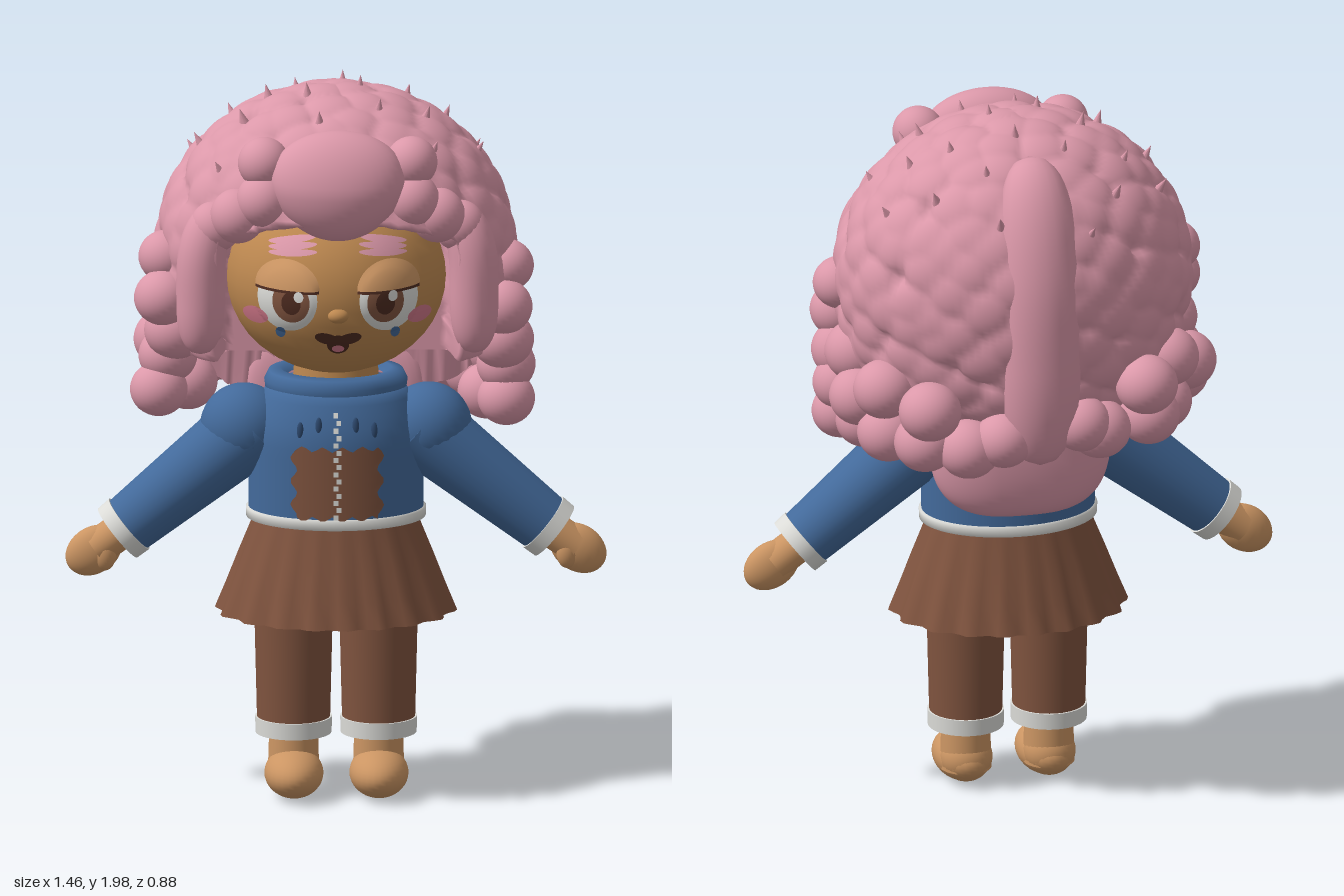
import * as THREE from 'three';
import { mergeVertices } from 'three/addons/utils/BufferGeometryUtils.js';

const V = (x, y, z) => new THREE.Vector3(x, y, z);
const mat = (name, color, side = THREE.FrontSide) => {
  const m = new THREE.MeshStandardMaterial({ color, side });
  m.name = name;
  return m;
};

export function createModel() {
  const model = new THREE.Group();
  const pink = mat('hair pink', 0xdb98a9), blush = mat('blush rose', 0xd2788a);
  const blue = mat('jacket blue', 0x436a9b, THREE.DoubleSide), navy = mat('dark blue', 0x2e4a70);
  const brown = mat('cloth brown', 0x80543f, THREE.DoubleSide), dark = mat('dark brown', 0x4d2b20);
  const skin = mat('skin', 0xcb9563), faceSkin = mat('face skin', 0xbd8850), white = mat('off white', 0xdcdcd8, THREE.DoubleSide);

  const add = (name, geo, material, x = 0, y = 0, z = 0) => {
    const m = new THREE.Mesh(geo, material);
    m.name = name;
    m.position.set(x, y, z);
    model.add(m);
    return m;
  };
  // Move every vertex by a rule, then weld and smooth
  const reshape = (geo, rule) => {
    const p = geo.attributes.position, v = V(0, 0, 0);
    for (let i = 0; i < p.count; i++) {
      v.fromBufferAttribute(p, i);
      rule(v, i);
      p.setXYZ(i, v.x, v.y, v.z);
    }
    geo.deleteAttribute('uv');
    geo.deleteAttribute('normal');
    const g = mergeVertices(geo, 1e-5);
    g.computeVertexNormals();
    return g;
  };
  const ball = (name, material, x, y, z, rx, ry = rx, rz = rx) =>
    add(name, new THREE.SphereGeometry(1, 28, 20).scale(rx, ry, rz), material, x, y, z);
  const between = (name, material, a, b, r0, r1) => {
    const m = add(name, new THREE.CylinderGeometry(r1, r0, a.distanceTo(b), 28), material);
    m.position.copy(a).lerp(b, 0.5);
    m.quaternion.setFromUnitVectors(V(0, 1, 0), b.clone().sub(a).normalize());
    return m;
  };
  // Round-ended lock of hair along a curve
  const lock = (name, pts, r, wide = 1) => {
    const curve = new THREE.CatmullRomCurve3(pts.map((p) => V(...p)));
    const n = 40, sides = 20;
    const geo = reshape(new THREE.TubeGeometry(curve, n, 1, sides), (v, i) => {
      const t = Math.floor(i / (sides + 1)) / n, c = curve.getPointAt(t);
      v.sub(c).multiplyScalar(r * Math.pow(Math.max(0, 1 - Math.pow(Math.abs(2 * t - 1), 4)), 0.5));
      v.x *= wide;
      v.add(c);
    });
    return add(name, geo, pink);
  };
  const lathe = (pts, depth) =>
    new THREE.LatheGeometry(pts.map(([r, y]) => new THREE.Vector2(r, y)), 72).scale(1, 1, depth);

  // Legs and feet
  for (const s of [1, -1]) {
    const x = s * 0.115;
    add('trouserLeg', new THREE.CylinderGeometry(0.112, 0.098, 0.58, 32), brown, x, 0.46, 0.07);
    add('trouserCuff', new THREE.CylinderGeometry(0.104, 0.103, 0.045, 32), white, x, 0.192, 0.07);
    add('ankle', new THREE.CylinderGeometry(0.066, 0.07, 0.13, 28), skin, x, 0.11, 0.07);
    ball('foot', skin, x, 0.066, 0.115, 0.08, 0.066, 0.125);
    ball('heel', skin, x, 0.075, 0.065, 0.071, 0.068, 0.071);
  }

  // Pleated skirt
  add('skirt', reshape(lathe([[0.2, 0.84], [0.222, 0.77], [0.26, 0.67], [0.292, 0.58], [0.318, 0.51]].reverse(), 0.8), (v) => {
    const a = Math.atan2(v.x, v.z), k = 1 + 0.035 * Math.sin(a * 18) * (0.84 - v.y) / 0.33;
    v.x *= k;
    v.z *= k;
  }), brown, 0, 0, 0.06);

  // Jacket body, hem and collar
  const torsoR = (y) => 0.237 - (y > 1 ? 1.2 * Math.pow(y - 1, 1.6) : 0);
  const torsoZ = (x, y) => 0.06 + 0.76 * Math.sqrt(Math.max(0, torsoR(y) ** 2 - x * x));
  const bodyPts = [];
  for (let i = 0; i <= 12; i++) bodyPts.push([torsoR(0.78 + i * 0.03), 0.78 + i * 0.03]);
  add('jacketBody', lathe([...bodyPts, [0.1, 1.16]], 0.76), blue, 0, 0, 0.06);
  add('jacketHem', lathe([[0.225, 0.768], [0.243, 0.772], [0.244, 0.797], [0.23, 0.802]], 0.77), white, 0, 0, 0.06);
  add('collar', lathe([[0.175, 1.07], [0.172, 1.1], [0.19, 1.12], [0.194, 1.15], [0.182, 1.175], [0.15, 1.18], [0.13, 1.16]], 0.8), blue, 0, 0, 0.05);

  // Thin plates on the jacket front
  const plate = (name, material, x, y, w, h, off, ragged = 0) =>
    add(name, reshape(new THREE.PlaneGeometry(w, h, 16, 16), (v) => {
      const dx = v.x, dy = v.y;
      v.x = x + dx * (1 + ragged * Math.sin(dy * 95 + 1));
      v.y = y + dy * (1 + ragged * Math.sin(dx * 110));
      v.z = torsoZ(v.x, v.y) + off;
    }), material);
  plate('jacketPatch', brown, 0, 0.9, 0.235, 0.195, 0.005, 0.08);
  for (let i = 0; i < 15; i++) plate('zipTooth', white, 0.004 * (i % 2 ? 1 : -1), 0.81 + i * 0.02, 0.013, 0.014, 0.01);
  for (const s of [1, -1]) for (const [x, y] of [[0.05, 1.06], [0.1, 1.045]])
    ball('jacketDrop', navy, s * x, y, torsoZ(x, y), 0.009, 0.024, 0.006);

  // Arms and hands
  for (const s of [1, -1]) {
    const a = V(s * 0.22, 1.025, 0.06), b = V(s * 0.585, 0.727, 0.06);
    ball('shoulderPuff', blue, s * 0.25, 1.02, 0.06, 0.118, 0.118, 0.11);
    between('sleeve', blue, a, b, 0.108, 0.08);
    between('sleeveCuff', white, a.clone().lerp(b, 0.93), a.clone().lerp(b, 1.015), 0.087, 0.085);
    between('wrist', skin, b, V(s * 0.65, 0.68, 0.06), 0.05, 0.05);
    const hand = ball('hand', skin, s * 0.655, 0.675, 0.06, 0.082, 0.064, 0.044);
    hand.rotation.z = -s * 0.6;
    ball('thumb', skin, s * 0.625, 0.67, 0.085, 0.03, 0.045, 0.026);
  }

  // Head and nose
  ball('head', faceSkin, 0, 1.45, 0.07, 0.3, 0.27, 0.3);
  add('neck', new THREE.CylinderGeometry(0.11, 0.12, 0.15, 24), faceSkin, 0, 1.17, 0.05);
  ball('nose', faceSkin, 0, 1.402, 0.365, 0.028, 0.02, 0.022);

  // Face details laid over the head, bulging at the eyes
  const EX = 0.137, EY = 1.445;
  const faceZ = (x, y) => {
    const head = Math.max(0, 1 - (x / 0.3) ** 2 - ((y - 1.45) / 0.27) ** 2);
    const eye = Math.max(0, 1 - ((Math.abs(x) - EX) / 0.088) ** 2 - ((y - EY) / 0.1) ** 2);
    return 0.07 + 0.3 * Math.sqrt(head) + 0.022 * Math.sqrt(eye);
  };
  const decal = (name, material, cx, cy, rx, ry, off, tilt = 0, start = 0, len = Math.PI * 2) =>
    add(name, reshape(new THREE.RingGeometry(0.001, 1, 36, 8, start, len), (v) => {
      const x = v.x * rx, y = v.y * ry;
      v.x = cx + x * Math.cos(tilt) - y * Math.sin(tilt);
      v.y = cy + x * Math.sin(tilt) + y * Math.cos(tilt);
      v.z = faceZ(v.x, v.y) + off;
    }), material);
  for (const s of [1, -1]) {
    decal('eyeWhite', white, s * EX, EY, 0.08, 0.092, 0.003);
    decal('iris', brown, s * 0.128, 1.44, 0.05, 0.058, 0.005);
    decal('pupil', dark, s * 0.128, 1.438, 0.026, 0.032, 0.007);
    decal('eyeGlint', white, s * 0.128 + 0.02, 1.458, 0.013, 0.015, 0.009);
    decal('lashLine', dark, s * EX, 1.466, 0.085, 0.082, 0.008, 0, 0, Math.PI);
    decal('eyelid', skin, s * EX, 1.474, 0.086, 0.078, 0.011, 0, 0, Math.PI);
    for (let i = 0; i < 3; i++) decal('eyebrow', pink, s * 0.122, 1.568 + i * 0.016, 0.066, 0.009, 0.009, -s * (0.1 + i * 0.05));
    decal('cheek', blush, s * 0.222, 1.382, 0.033, 0.025, 0.005);
    decal('tear', blue, s * 0.155, 1.345, 0.013, 0.018, 0.006);
    decal('mouthSide', dark, s * 0.03, 1.333, 0.034, 0.017, 0.005, s * 0.25);
  }
  decal('mouth', dark, 0, 1.315, 0.03, 0.03, 0.006);
  decal('tongue', blush, 0, 1.302, 0.017, 0.011, 0.008);

  // Curly hair: a dome covered with rounded bumps, cut away round the face
  const spread = (n, wobble) => Array.from({ length: n }, (_, i) => {
    const y = 1 - 2 * (i + 0.5) / n, r = Math.sqrt(1 - y * y), a = i * 2.39996;
    return V(r * Math.cos(a) + wobble * Math.sin(i * 12.9), y + wobble * Math.sin(i * 7.3), r * Math.sin(a) + wobble * Math.sin(i * 4.7)).normalize();
  });
  const seeds = spread(280, 0.055);
  const domePoint = (d, swell) => {
    const h = Math.sqrt(Math.max(0, 1 - d.y * d.y));
    const k = (d.y < 0 ? Math.pow(h, -0.5) : 1) * (1 + swell);
    return V(d.x * 0.465 * Math.min(k, 6), 1.5 + d.y * (1 + swell) * (d.y < 0 ? 0.4 : 0.435), d.z * 0.39 * Math.min(k, 6));
  };
  add('curlyHair', reshape(new THREE.SphereGeometry(1, 150, 110), (v) => {
    const d = v.clone().normalize();
    let near = 9;
    for (const s of seeds) near = Math.min(near, s.distanceToSquared(d));
    const bump = Math.sqrt(Math.max(0, 1 - near / 0.032));
    v.copy(domePoint(d, 0.075 * bump - 0.015));
    const arch = 1.66 - 0.6 * v.x * v.x;
    const cut = THREE.MathUtils.smoothstep(arch - v.y, 0, 0.04) * THREE.MathUtils.smoothstep(0.33 - Math.abs(v.x), 0, 0.03);
    if (v.z > 0.1) v.z = THREE.MathUtils.lerp(v.z, 0.1, cut);
    if (v.z > -0.05) v.y = Math.max(v.y, 1.24);
  }), pink);

  // Small spikes on the crown
  for (const d of spread(110, 0.03).filter((p) => p.y > 0.45)) {
    const spike = add('hairSpike', new THREE.ConeGeometry(0.018, 0.055, 10), pink);
    spike.position.copy(domePoint(d, 0.055));
    spike.quaternion.setFromUnitVectors(V(0, 1, 0), V(d.x * 0.7, d.y + 0.3, d.z * 0.7).normalize());
  }

  // Fringe, front side locks and back tail
  add('fringe', reshape(new THREE.SphereGeometry(1, 36, 28), (v) => {
    v.x *= 0.18 * (1 + 0.12 * v.y);
    v.y *= 0.15;
    v.z = v.z * 0.105 - 0.12 * Math.max(0, v.y);
  }), pink, 0, 1.755, 0.33);
  for (const s of [1, -1]) {
    lock('sideLock', [[s * 0.33, 1.68, 0.22], [s * 0.365, 1.55, 0.24], [s * 0.37, 1.4, 0.24], [s * 0.37, 1.265, 0.235]], 0.066);
    for (const [x, y, z, r] of [[0.2, 1.71, 0.3, 0.075], [0.27, 1.66, 0.27, 0.075], [0.33, 1.62, 0.23, 0.07], [0.2, 1.81, 0.28, 0.07]])
      ball('fringeCurl', pink, s * x, y, z, r);
  }
  lock('backTail', [[0, 1.9, -0.2], [0, 1.82, -0.27], [0, 1.6, -0.34], [0, 1.35, -0.355], [0, 1.06, -0.345]], 0.088, 1.25);

  // Hanging curls down the sides and around the back
  const curls = [
    [0.46, 1.47, 0.08, 0.075], [0.45, 1.37, 0.14, 0.08], [0.45, 1.27, 0.1, 0.085], [0.46, 1.19, 0.06, 0.08],
    [0.46, 1.1, 0.08, 0.078], [0.41, 1.1, 0.0, 0.08], [0.43, 1.3, 0.0, 0.09], [0.44, 1.2, -0.08, 0.085],
    [0.38, 1.12, -0.16, 0.085], [0.4, 1.26, -0.2, 0.085], [0.3, 1.12, -0.26, 0.085], [0.3, 1.23, -0.32, 0.085],
    [0.19, 1.11, -0.31, 0.085], [0.1, 1.14, -0.34, 0.08],
  ];
  for (const s of [1, -1]) curls.forEach(([x, y, z, r], i) =>
    ball('hangingCurl', pink, s * x - (s < 0 ? 0.02 * Math.sin(i * 2) : 0), y + (s < 0 ? 0.03 : 0), z, r, r * 0.95, r));

  // Smooth hair panel down the back
  add('backHairPanel', reshape(new THREE.SphereGeometry(1, 40, 32), (v) => {
    const soft = (t, e) => Math.sign(t) * Math.pow(Math.abs(t), e);
    v.set(soft(v.x, 0.6) * 0.25, soft(v.y, 0.7) * 0.22, soft(v.z, 0.8) * 0.085);
    v.z += 0.7 * v.x * v.x;
  }), pink, 0, 1.06, -0.13);

  return model;
}
